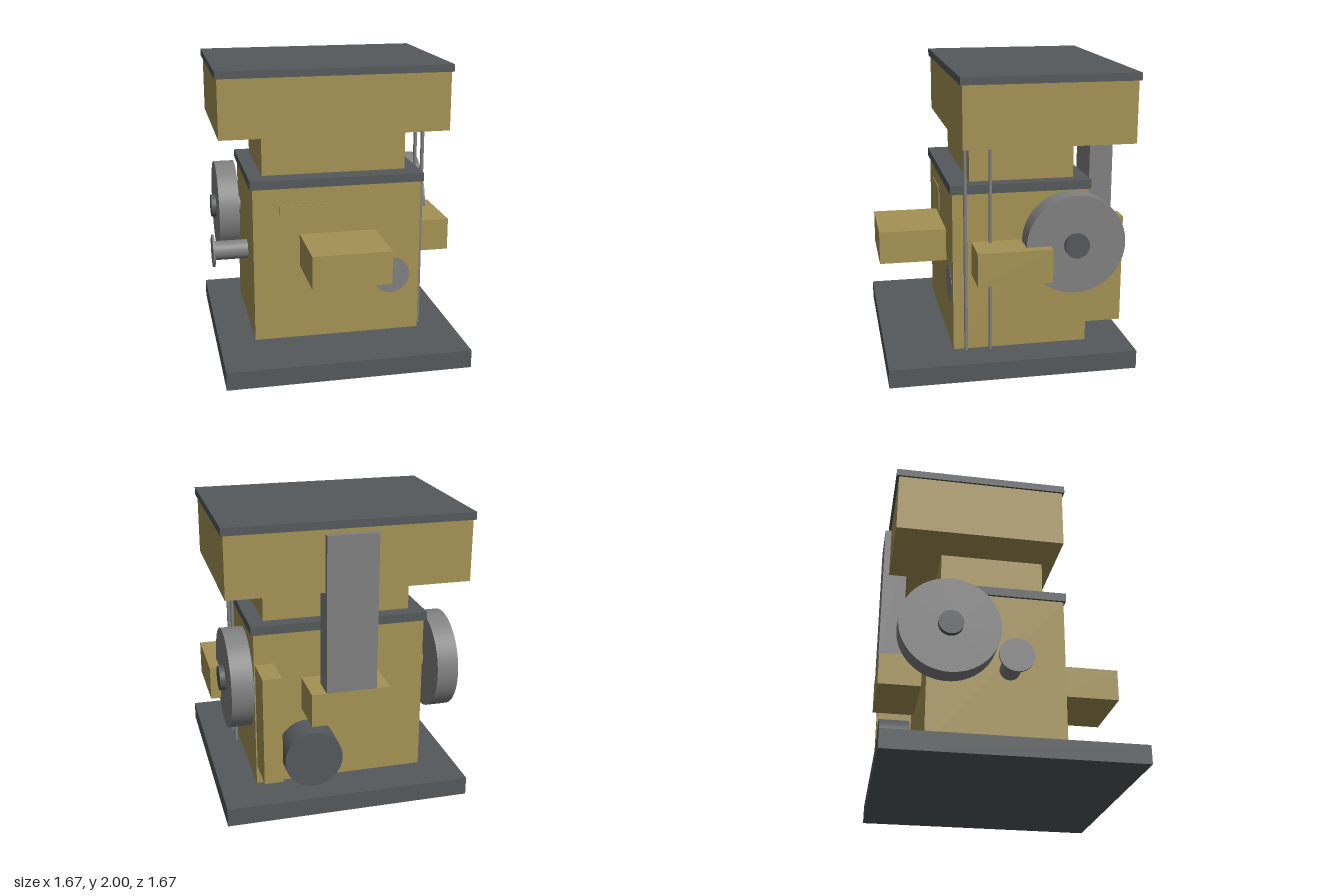
import * as THREE from 'three';

export function createModel() {
  const model = new THREE.Group();
  model.name = 'machine';
  const material = (name, color) => {
    const m = new THREE.MeshStandardMaterial({ color });
    m.name = name;
    return m;
  };
  const tan = material('tan paint', 0xa49254);
  const dark = material('dark steel', 0x54595b);
  const grey = material('grey metal', 0x808080);

  const add = (name, geometry, mat) => {
    const mesh = new THREE.Mesh(geometry, mat);
    mesh.name = name;
    model.add(mesh);
    return mesh;
  };
  // Box given by its limits on each axis
  const box = (name, mat, [x0, x1], [y0, y1], [z0, z1]) =>
    add(name, new THREE.BoxGeometry(x1 - x0, y1 - y0, z1 - z0), mat)
      .position.set((x0 + x1) / 2, (y0 + y1) / 2, (z0 + z1) / 2);
  // Cylinder along an axis, from a to b; c holds the centre on the other axes
  const rod = (name, mat, axis, r, a, b, c, sides = 48) => {
    const g = new THREE.CylinderGeometry(r, r, Math.abs(b - a), sides);
    if (axis === 'x') g.rotateZ(Math.PI / 2);
    if (axis === 'z') g.rotateX(Math.PI / 2);
    const mesh = add(name, g, mat);
    mesh.position.set(c.x ?? 0, c.y ?? 0, c.z ?? 0);
    mesh.position[axis] = (a + b) / 2;
  };

  // Base, body, neck and hopper
  box('base', dark, [-0.833, 0.833], [0, 0.125], [-0.833, 0.833]);
  box('body', tan, [-0.583, 0.583], [0.125, 1.21], [-0.542, 0.375]);
  box('bodyCap', dark, [-0.6, 0.6], [1.21, 1.27], [-0.555, 0.39]);
  box('neck', tan, [-0.5, 0.5], [1.27, 1.545], [-0.455, 0.25]);
  box('hopper', tan, [-0.792, 0.792], [1.545, 1.95], [-0.79, 0.335]);
  box('hopperLid', dark, [-0.806, 0.806], [1.95, 2], [-0.805, 0.35]);

  // Trays on the front, left side and back
  box('frontTray', tan, [-0.265, 0.265], [0.655, 0.88], [0.375, 0.833]);
  box('sideTray', tan, [0.583, 0.833], [0.655, 0.88], [-0.245, 0.25]);
  box('backTray', tan, [-0.265, 0.265], [0.655, 0.88], [-0.833, -0.542]);

  // Duct, drive housing and motor at the back
  box('duct', grey, [-0.167, 0.167], [0.88, 1.917], [-0.833, -0.667]);
  box('driveHousing', tan, [0.45, 0.575], [0.255, 1.0], [-0.79, -0.542]);
  rod('motor', dark, 'z', 0.195, -0.79, -0.58, { x: 0.24, y: 0.39 });

  // Thin front plate and round cover
  box('frontPlate', tan, [-0.4, -0.07], [0.92, 1.09], [0.375, 0.381]);
  rod('roundCover', grey, 'z', 0.13, 0.374, 0.377, { x: 0.385, y: 0.535 });

  // Flywheels with shafts and hubs on both sides
  for (const s of [-1, 1]) {
    const c = { y: 0.88, z: -0.415 };
    rod('flywheelShaft', grey, 'x', 0.057, s * 0.57, s * 0.63, c);
    rod('flywheel', grey, 'x', 0.332, s * 0.62, s * 0.765, c, 64);
    rod('flywheelHub', dark, 'x', 0.082, s * 0.755, s * 0.8, c);
  }

  // Round outlet with a flange
  rod('outletPipe', grey, 'x', 0.068, -0.822, -0.57, { y: 0.67, z: 0 });
  rod('outletFlange', grey, 'x', 0.115, -0.833, -0.818, { y: 0.67, z: 0 });

  // Upright rods beside the body
  for (const z of [0.294, 0.128]) {
    rod('uprightRod', grey, 'y', 0.0125, 0.125, 1.545, { x: 0.61, z }, 16);
  }
  return model;
}
